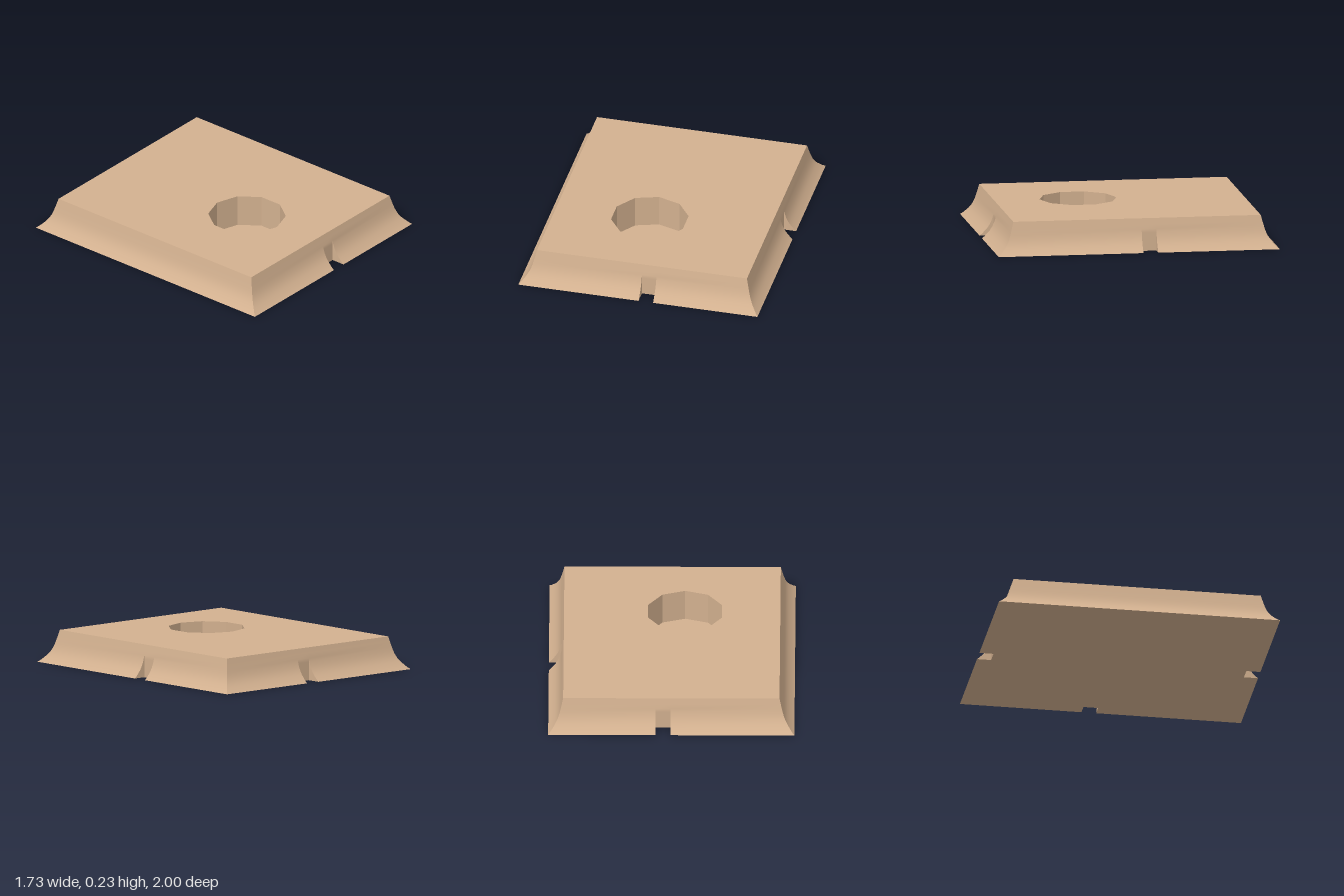
import * as THREE from 'three';
import { toCreasedNormals } from 'three/addons/utils/BufferGeometryUtils.js';

const TOP = { x: 0.76, z: 0.88 };
const BASE = { x: 0.865, z: 1 };
const HEIGHT = 0.23;
const NOTCH_FLARE = 0.165; // the flare is cut back to this inside a notch
// coved edge: [height, flare], flare 1 at the base and 0 at the top
const COVE = [[0, 1], [0.015, 0.85], [0.035, 0.69], [0.055, 0.54], [0.08, 0.4], [0.105, 0.3],
  [0.13, 0.225], [0.155, NOTCH_FLARE], [0.19, 0.085], [HEIGHT, 0]];
const HOLE = { x: -0.09, z: 0.285, r: 0.273, sides: 10 };

// One flared side facing +z, with an optional notch [from, to] along its length
function flaredSide(along, out, notch) {
  const [a0, a1] = [TOP[along], BASE[along]];
  const [d0, d1] = [TOP[out], BASE[out]];
  const columns = [{ corner: -1, max: 1 }];
  if (notch) {
    const [a, b] = notch;
    columns.push({ u: a, max: 1 }, { u: a, max: NOTCH_FLARE },
      { u: b, max: NOTCH_FLARE }, { u: b, max: 1 });
  }
  columns.push({ corner: 1, max: 1 });

  const point = (c, [y, t]) => {
    const f = Math.min(t, c.max);
    const u = c.corner ? c.corner * (a0 + (a1 - a0) * f) : c.u;
    return [u, y, d0 + (d1 - d0) * f];
  };
  const pos = [];
  for (let i = 0; i < columns.length - 1; i++) {
    const [l, r] = [columns[i], columns[i + 1]];
    const cheek = l.u !== undefined && l.u === r.u;
    for (let j = 0; j < COVE.length - 1; j++) {
      if (cheek && COVE[j][1] <= NOTCH_FLARE) continue;
      const A = point(l, COVE[j]), B = point(r, COVE[j]);
      const C = point(r, COVE[j + 1]), D = point(l, COVE[j + 1]);
      pos.push(...A, ...B, ...C);
      // the cheek closes to a point where the notch meets the cove
      if (!(cheek && COVE[j + 1][1] <= NOTCH_FLARE)) pos.push(...A, ...C, ...D);
    }
  }
  const g = new THREE.BufferGeometry();
  g.setAttribute('position', new THREE.Float32BufferAttribute(pos, 3));
  return toCreasedNormals(g, 0.5);
}

export function createModel() {
  const group = new THREE.Group();
  const clay = new THREE.MeshStandardMaterial({ color: 0xd2b08f, side: THREE.DoubleSide });
  clay.name = 'tan';
  const add = (name, geometry) => {
    const mesh = new THREE.Mesh(geometry, clay);
    mesh.name = name;
    group.add(mesh);
    return mesh;
  };

  // Four coved sides, notched on the front, left and back
  const sides = [
    ['frontSide', 'x', 'z', [0.005, 0.11]],
    ['leftSide', 'z', 'x', [0.03, 0.135]],
    ['backSide', 'x', 'z', [-0.11, -0.005]],
    ['rightSide', 'z', 'x', null],
  ];
  sides.forEach(([name, along, out, notch], k) => {
    add(name, flaredSide(along, out, notch)).rotation.y = k * Math.PI / 2;
  });

  // Top plate with a ten-sided hole (shape y becomes -z)
  const top = new THREE.Shape([[-1, -1], [1, -1], [1, 1], [-1, 1]]
    .map(([x, y]) => new THREE.Vector2(x * TOP.x, y * TOP.z)));
  const ring = [];
  for (let i = 0; i < HOLE.sides; i++) {
    const a = (i / HOLE.sides) * Math.PI * 2;
    ring.push(new THREE.Vector2(HOLE.x + HOLE.r * Math.sin(a), -HOLE.z - HOLE.r * Math.cos(a)));
  }
  top.holes.push(new THREE.Path(ring));
  add('topPlate', new THREE.ShapeGeometry(top).rotateX(-Math.PI / 2).translate(0, HEIGHT, 0));

  // Faceted hole wall; the underside closes it as its floor
  const wall = new THREE.CylinderGeometry(HOLE.r, HOLE.r, HEIGHT, HOLE.sides, 1, true).toNonIndexed();
  wall.computeVertexNormals();
  add('holeWall', wall).position.set(HOLE.x, HEIGHT / 2, HOLE.z);

  // Underside following the notches (shape y becomes z)
  const nx = TOP.x + (BASE.x - TOP.x) * NOTCH_FLARE;
  const nz = TOP.z + (BASE.z - TOP.z) * NOTCH_FLARE;
  const { x: bx, z: bz } = BASE;
  const under = new THREE.Shape([
    [-bx, -bz], [0.005, -bz], [0.005, -nz], [0.11, -nz], [0.11, -bz], [bx, -bz],
    [bx, -0.135], [nx, -0.135], [nx, -0.03], [bx, -0.03], [bx, bz],
    [0.11, bz], [0.11, nz], [0.005, nz], [0.005, bz], [-bx, bz],
  ].map(([x, y]) => new THREE.Vector2(x, y)));
  add('underside', new THREE.ShapeGeometry(under).rotateX(Math.PI / 2));

  return group;
}
